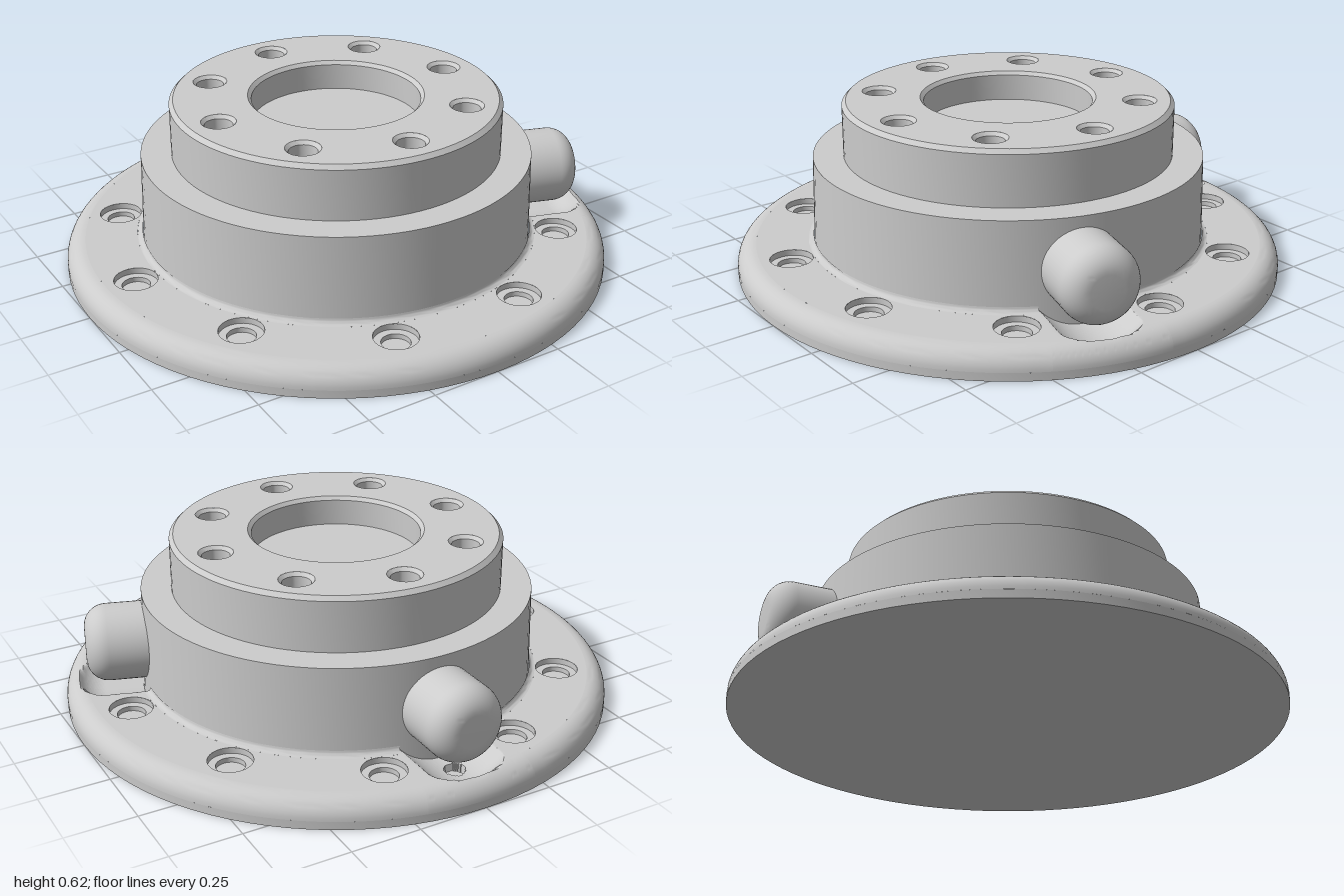
import * as THREE from 'three';
import { toCreasedNormals } from 'three/addons/utils/BufferGeometryUtils.js';

const PI = Math.PI, deg = PI / 180;
const RIM = 0.07, FILLET = 0.02, FLAT_OUT = 0.93, FLAT_IN = 0.74, FLANGE_Y = 0.1;
const PLUGS = [18, 270], HALF = 12; // plug directions and half width of their flange sectors

// Rounded outer edge and inner fillet of the flange, as [radius, height] from outside in
const arc = (n, f) => Array.from({ length: n + 1 }, (_, i) => f((i / n) * PI / 2));
const rimArc = arc(10, a => [FLAT_OUT + RIM * Math.cos(a), FLANGE_Y - RIM + RIM * Math.sin(a)]);
const filletArc = arc(6, a => [FLAT_IN - FILLET * Math.sin(a), FLANGE_Y + FILLET * (1 - Math.cos(a))]);

export function createModel() {
  const model = new THREE.Group();
  const material = new THREE.MeshStandardMaterial({ color: 0xcccccc });

  const add = (name, geometry) => {
    const mesh = new THREE.Mesh(geometry, material);
    mesh.name = name;
    model.add(mesh);
    return mesh;
  };

  // Lathe over an angle range measured from +x towards +z
  const lathe = (points, segments = 96, from = 0, to = 360) => toCreasedNormals(
    new THREE.LatheGeometry(points.map(p => new THREE.Vector2(...p)), segments,
      PI / 2 - to * deg, (to - from) * deg), 35 * deg);

  const addHole = (shape, radius, angle, size) => {
    const hole = new THREE.Path();
    hole.absarc(radius * Math.cos(angle), -radius * Math.sin(angle), size, 0, 2 * PI, true);
    shape.holes.push(hole);
  };

  const flatFace = (shape, y) =>
    new THREE.ShapeGeometry(shape, 48).rotateX(-PI / 2).translate(0, y, 0);

  const addPocket = (name, radius, angle, y, profile) => {
    add(name, lathe(profile, 32)).position.set(radius * Math.cos(angle), y, radius * Math.sin(angle));
  };

  // Flange underside and lower edge
  add('flangeBottom', new THREE.CircleGeometry(1, 96).rotateX(PI / 2));
  add('flangeEdge', lathe([[1, 0], [1, FLANGE_Y - RIM]]));

  // Plain flange sectors between the plugs, with counterbored bolt holes
  for (const [from, to] of [[-90 + HALF, 18 - HALF], [18 + HALF, 270 - HALF]]) {
    const segments = Math.round((to - from) / 3);
    add('flangeRim', lathe(rimArc, segments, from, to));
    add('flangeFillet', lathe(filletArc, segments, from, to));
    const sector = new THREE.Shape();
    sector.absarc(0, 0, FLAT_OUT, -to * deg, -from * deg, false);
    sector.absarc(0, 0, FLAT_IN, -from * deg, -to * deg, true);
    for (let a = -72; a < 288; a += 36) {
      if (a < from || a > to) continue;
      addHole(sector, 0.82, a * deg, 0.077);
      addPocket('boltHole', 0.82, a * deg, FLANGE_Y,
        [[0.077, 0], [0.077, -0.022], [0.05, -0.022], [0.05, -0.04], [0, -0.04]]);
    }
    add('flangeTop', flatFace(sector, FLANGE_Y));
  }

  // Flange sectors below the plugs, hollowed by a round-ended clearance groove
  for (const angle of PLUGS) add('flangeGroove', grooveGeometry(angle, angle === 270));

  // Stepped body with chamfered upper edge
  add('body', lathe([[0.72, 0.03], [0.71, 0.42], [0.6, 0.42], [0.6, 0.605], [0.585, 0.62]]));

  // Top face with eight drilled holes around a central bore
  const top = new THREE.Shape();
  top.absarc(0, 0, 0.585, 0, 2 * PI, false);
  addHole(top, 0, 0, 0.318);
  for (let i = 0; i < 8; i++) {
    const a = i * PI / 4;
    addHole(top, 0.475, a, 0.062);
    addPocket('drilledHole', 0.475, a, 0.62,
      [[0.062, 0], [0.05, -0.012], [0.05, -0.1], [0, -0.13]]);
  }
  add('topFace', flatFace(top, 0.62));
  add('centreBore', lathe([[0.318, 0.62], [0.305, 0.607], [0.305, 0.51], [0, 0.51]]));

  // Round-nosed side plugs
  const nose = arc(10, a => [0.06 + 0.08 * Math.cos(a), 0.84 + 0.08 * Math.sin(a)]);
  for (const angle of PLUGS) {
    const geometry = lathe([[0.14, 0.6], ...nose, [0, 0.92]], 48);
    geometry.rotateZ(-PI / 2).rotateY(-angle * deg);
    add('sidePlug', geometry).position.y = 0.24;
  }
  return model;
}

// Polar grid whose height is the lower of the flange profile and the groove
function grooveGeometry(angle, vented) {
  const flat = Array.from({ length: 39 }, (_, i) =>
    [FLAT_OUT + (FLAT_IN - FLAT_OUT) * (i + 1) / 40, FLANGE_Y]);
  const rows = [...rimArc, ...flat, ...filletArc];
  const columns = 72, positions = [], index = [];
  rows.forEach(([r, y], j) => {
    for (let i = 0; i <= columns; i++) {
      const offset = (i / columns * 2 - 1) * HALF * deg;
      const s = r * Math.cos(offset), t = r * Math.sin(offset);
      // groove radius shrinks around its rounded outer end
      const end = Math.max(0, s - 0.86);
      const radius = end < 0.105 ? 0.095 + Math.sqrt(0.105 ** 2 - end ** 2) : 0;
      let h = Math.abs(t) < radius ? Math.min(y, 0.24 - Math.sqrt(radius ** 2 - t ** 2)) : y;
      if (vented && Math.hypot(s - 0.81, t) < 0.035) h = 0.015; // small vent hole
      const a = angle * deg + offset;
      positions.push(r * Math.cos(a), h, r * Math.sin(a));
      if (i < columns && j < rows.length - 1) {
        const p = j * (columns + 1) + i, q = p + columns + 1;
        index.push(p, q, p + 1, p + 1, q, q + 1);
      }
    }
  });
  const geometry = new THREE.BufferGeometry();
  geometry.setAttribute('position', new THREE.Float32BufferAttribute(positions, 3));
  geometry.setIndex(index);
  return toCreasedNormals(geometry, 30 * deg);
}
